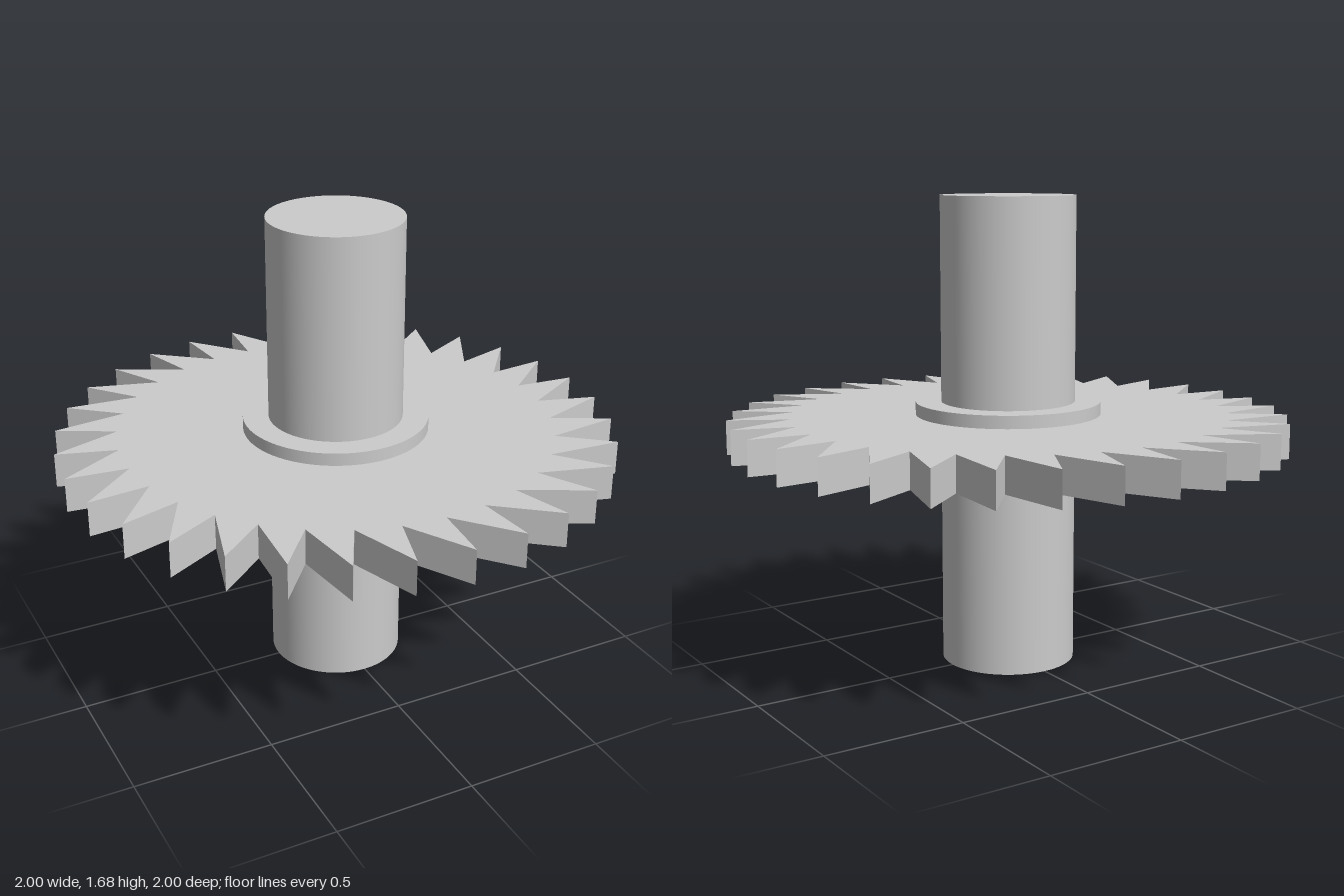
import * as THREE from 'three';

const MID = 0.84;          // height of the blade's centre plane
const TEETH = 32;

export function createModel() {
  const model = new THREE.Group();
  const material = new THREE.MeshStandardMaterial({ color: 0xcccccc });

  const add = (name, geometry, y) => {
    const mesh = new THREE.Mesh(geometry, material);
    mesh.name = name;
    mesh.position.y = y;
    model.add(mesh);
  };

  // Shaft through the blade, and the collar clamping it on both faces
  add('shaft', new THREE.CylinderGeometry(0.24, 0.24, 2 * MID, 96), MID);
  add('collar', new THREE.CylinderGeometry(0.332, 0.332, 0.216, 96), MID + 0.002);

  // Saw blade: each tooth has a nearly radial face and a long sloping back
  const step = (2 * Math.PI) / TEETH;
  const lean = THREE.MathUtils.degToRad(1.3);
  const polar = (r, a) => new THREE.Vector2(r * Math.sin(a), r * Math.cos(a));
  const outline = [];
  for (let i = 0; i < TEETH; i++) {
    outline.push(polar(0.78, i * step), polar(1, i * step + lean));
  }
  const thickness = 0.124;
  const blade = new THREE.ExtrudeGeometry(new THREE.Shape(outline), {
    depth: thickness, bevelEnabled: false,
  });
  blade.rotateX(-Math.PI / 2);
  add('blade', blade, MID + 0.002 - thickness / 2);

  return model;
}
